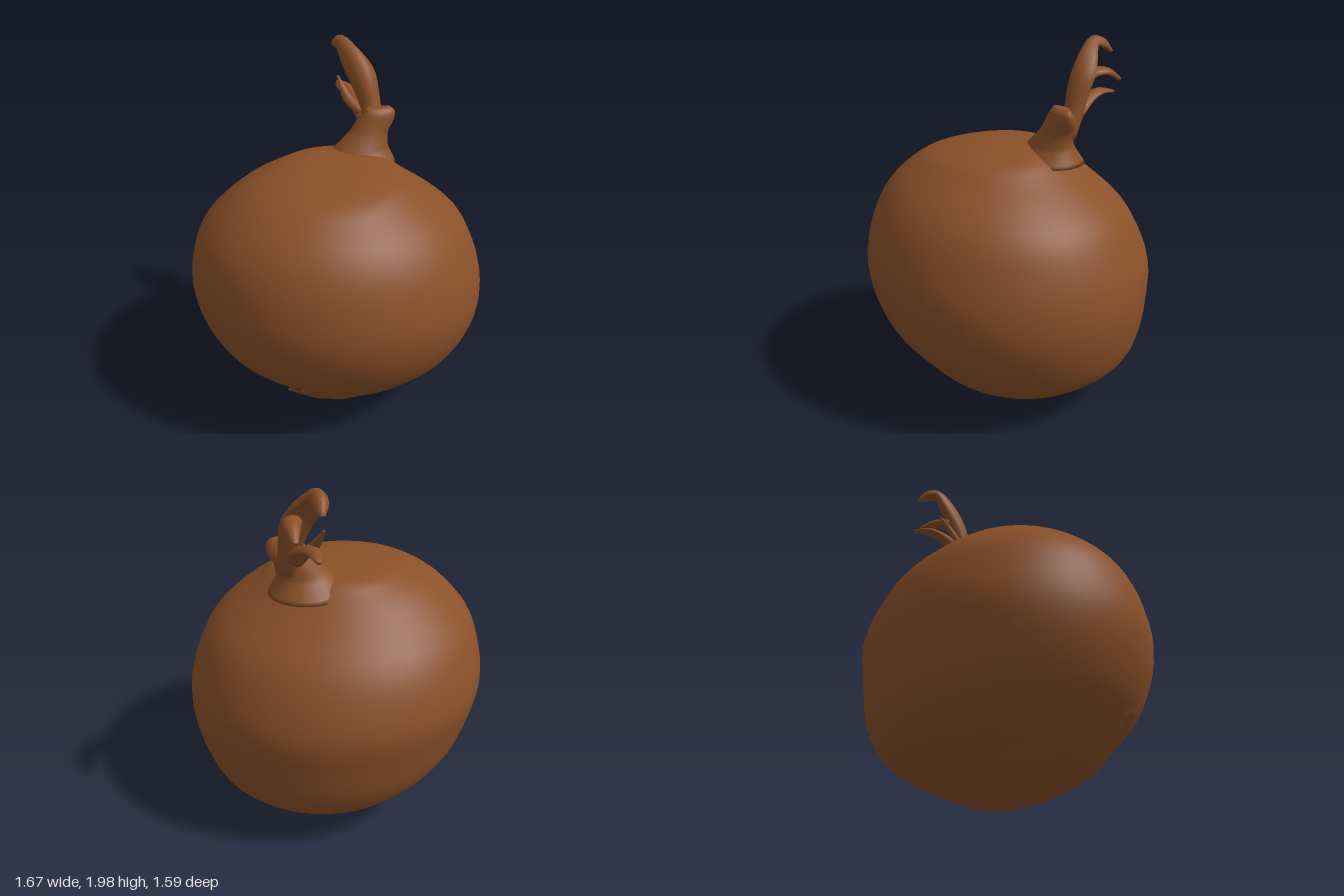
import * as THREE from 'three';

// Catmull-Rom sampling of a table of rows, t in row units
function sample(rows, t) {
  const n = rows.length - 1, i = Math.min(Math.floor(t), n - 1), f = t - i;
  const [a, b, c, d] = [i - 1, i, i + 1, i + 2].map(k => rows[Math.min(Math.max(k, 0), n)]);
  return b.map((_, k) => b[k] + 0.5 * f * (c[k] - a[k]
    + f * (2 * a[k] - 5 * b[k] + 4 * c[k] - d[k] + f * (3 * (b[k] - c[k]) + d[k] - a[k]))));
}

const refine = (rows, per) => Array.from({ length: (rows.length - 1) * per + 1 }, (_, i) => sample(rows, i / per));

// Skins loops of points; closed loops also get end caps
function skin(loops, closed) {
  const pos = loops.flat().flatMap(p => p.toArray()), idx = [];
  const m = loops[0].length, n = loops.length;
  for (let i = 0; i < n - 1; i++) {
    for (let j = 0; j < (closed ? m : m - 1); j++) {
      const k = (j + 1) % m, a = i * m + j, b = i * m + k;
      idx.push(a, b, b + m, a, b + m, a + m);
    }
  }
  if (closed) {
    [0, n - 1].forEach((r, end) => {
      const c = new THREE.Vector3();
      loops[r].forEach(p => c.addScaledVector(p, 1 / m));
      const ci = pos.length / 3;
      pos.push(c.x, c.y, c.z);
      for (let j = 0; j < m; j++) {
        const a = r * m + j, b = r * m + (j + 1) % m;
        idx.push(ci, end ? a : b, end ? b : a);
      }
    });
  }
  const g = new THREE.BufferGeometry();
  g.setAttribute('position', new THREE.Float32BufferAttribute(pos, 3));
  g.setIndex(idx);
  g.computeVertexNormals();
  return g;
}

// Horizontal ellipse loop from [y, centre x, centre z, radius x, radius z]
const ellipse = ([y, cx, cz, rx, rz], sides) => Array.from({ length: sides }, (_, j) => {
  const a = j / sides * Math.PI * 2;
  return new THREE.Vector3(cx + rx * Math.cos(a), y, cz - rz * Math.sin(a));
});

// Withered leaf: rows of [x, y, z, half width, half thickness, cupping]
function leaf(rows, sides = 14) {
  const r = refine(rows, 3), U = new THREE.Vector3(1, 0, 0);
  return skin(r.map((p, i) => {
    const a = r[Math.max(i - 1, 0)], b = r[Math.min(i + 1, r.length - 1)];
    const V = new THREE.Vector3(0, b[1] - a[1], b[2] - a[2]).normalize().cross(U);
    return Array.from({ length: sides }, (_, j) => {
      const q = j / sides * Math.PI * 2, u = Math.cos(q);
      return new THREE.Vector3(p[0], p[1], p[2]).addScaledVector(U, p[3] * u)
        .addScaledVector(V, p[4] * Math.sin(q) + p[5] * u * u);
    });
  }), true);
}

// Bulb sections: y, min x, max x, back z, front z
const bulbRows = [
  [0.005, -0.12, 0.28, -0.18, 0.08], [0.03, -0.28, 0.36, -0.28, 0.2],
  [0.09, -0.38, 0.5, -0.43, 0.34], [0.17, -0.47, 0.62, -0.58, 0.47],
  [0.28, -0.59, 0.73, -0.69, 0.57], [0.42, -0.72, 0.795, -0.75, 0.69],
  [0.6, -0.8, 0.835, -0.775, 0.77], [0.78, -0.835, 0.825, -0.79, 0.795],
  [0.95, -0.815, 0.77, -0.735, 0.765], [1.1, -0.765, 0.69, -0.645, 0.705],
  [1.22, -0.67, 0.56, -0.52, 0.62], [1.32, -0.55, 0.42, -0.4, 0.5],
  [1.38, -0.43, 0.34, -0.32, 0.4], [1.42, -0.29, 0.24, -0.26, 0.23],
  [1.44, -0.15, 0.15, -0.15, 0.07],
].map(([y, l, r, b, f]) => [y, (l + r) / 2, (b + f) / 2, (r - l) / 2, (f - b) / 2]);

// Point on the front of the bulb, lifted along its outward direction
function onBulb(x, y, lift) {
  const i = Math.max(bulbRows.findIndex(r => r[0] > y) - 1, 0);
  const [, cx, cz, rx, rz] = sample(bulbRows, i + (y - bulbRows[i][0]) / (bulbRows[i + 1][0] - bulbRows[i][0]));
  const z = cz + rz * Math.sqrt(Math.max(0, 1 - ((x - cx) / rx) ** 2));
  const n = new THREE.Vector3(x, y - 0.75, z).normalize();
  return new THREE.Vector3(x, y, z).addScaledVector(n, lift);
}

export function createModel() {
  const group = new THREE.Group();
  const skinBrown = new THREE.MeshStandardMaterial({ color: 0x8a5028, side: THREE.DoubleSide });
  skinBrown.name = 'skinBrown';
  const add = (name, geometry) => {
    const mesh = new THREE.Mesh(geometry, skinBrown);
    mesh.name = name;
    group.add(mesh);
  };

  // Bulb
  add('bulb', skin(refine(bulbRows, 3).map(r => ellipse(r, 48)), true));

  // Flared neck with a lopsided top
  const neck = [
    [1.35, 0.17, -0.16, 0.21, 0.19], [1.42, 0.18, -0.165, 0.165, 0.13],
    [1.46, 0.195, -0.165, 0.14, 0.105], [1.52, 0.23, -0.175, 0.112, 0.085],
    [1.58, 0.265, -0.175, 0.108, 0.068], [1.63, 0.285, -0.165, 0.09, 0.045],
    [1.655, 0.28, -0.17, 0.07, 0.025],
  ];
  add('neck', skin(refine(neck, 3).map(r => ellipse(r, 24)), true));

  // Dry leaves bending to the back
  add('mainLeaf', leaf([
    [0.26, 1.5, -0.2, 0.07, 0.06, 0], [0.265, 1.62, -0.25, 0.06, 0.05, 0],
    [0.245, 1.74, -0.28, 0.075, 0.05, 0.02], [0.225, 1.83, -0.31, 0.085, 0.04, 0.04],
    [0.19, 1.91, -0.36, 0.07, 0.03, 0.04], [0.15, 1.965, -0.43, 0.045, 0.025, 0.02],
    [0.14, 1.95, -0.5, 0.04, 0.02, 0.02], [0.14, 1.9, -0.55, 0.015, 0.01, 0],
  ]));
  add('sideLeaf', leaf([
    [0.25, 1.76, -0.28, 0.05, 0.04, 0], [0.26, 1.82, -0.36, 0.05, 0.025, 0.01],
    [0.265, 1.82, -0.45, 0.04, 0.018, 0.01], [0.26, 1.77, -0.53, 0.015, 0.01, 0],
  ]));
  add('lowerLeaf', leaf([
    [0.25, 1.55, -0.23, 0.06, 0.04, 0], [0.22, 1.63, -0.31, 0.06, 0.03, 0.01],
    [0.185, 1.685, -0.4, 0.05, 0.018, 0.015], [0.165, 1.7, -0.48, 0.04, 0.014, 0.01],
    [0.16, 1.685, -0.565, 0.012, 0.008, 0],
  ]));
  add('smallCurl', leaf([
    [0.22, 1.6, -0.25, 0.04, 0.025, 0], [0.16, 1.66, -0.31, 0.035, 0.018, 0.01],
    [0.13, 1.72, -0.36, 0.018, 0.014, 0], [0.115, 1.775, -0.41, 0.006, 0.006, 0],
  ], 10));

  // Torn skin flap low on the front: y, left x, right x
  const flap = [
    [0.06, -0.2, -0.05], [0.1, -0.26, -0.04], [0.14, -0.31, 0], [0.2, -0.37, 0],
    [0.26, -0.38, -0.09], [0.32, -0.39, -0.15], [0.36, -0.41, -0.2], [0.42, -0.35, -0.22], [0.48, -0.3, -0.24],
  ];
  add('tornSkin', skin(refine(flap, 2).map(([y, l, r], i, all) => Array.from({ length: 11 }, (_, j) => {
    const u = j / 10, v = i / (all.length - 1);
    const lift = 0.03 * (1 - u ** 3) * (1 - v ** 4) + 0.006 * Math.sin(i * 2.3 + j * 0.9) - 0.006;
    return onBulb(l + (r - l) * u, y, lift);
  })), false));

  return group;
}
